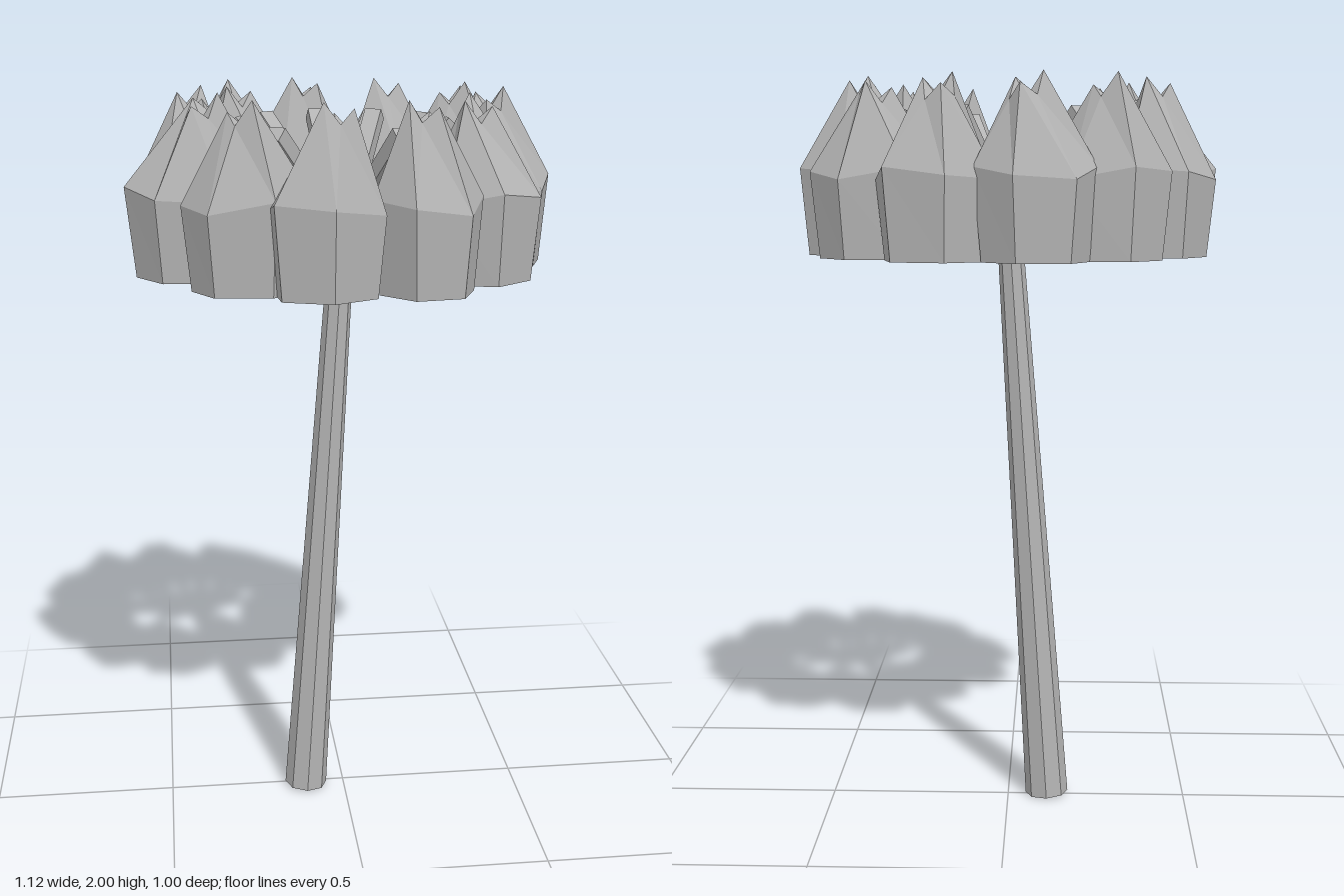
import * as THREE from 'three';

const SIDES = 6;

// One bud per row: centre x, z, radius x, z, turn in degrees, tip x, z
const BUDS = [
  [0.40, 0.00, 0.16, 0.12, -14, 0.38, 0.00],
  [0.33, -0.21, 0.17, 0.115, 0, 0.33, -0.205],
  [0.165, -0.35, 0.165, 0.12, 20, 0.157, -0.358],
  [-0.08, -0.395, 0.155, 0.112, -10, -0.057, -0.39],
  [-0.253, -0.295, 0.165, 0.11, 5, -0.262, -0.30],
  [-0.385, -0.105, 0.16, 0.125, 0, -0.38, -0.105],
  [-0.385, 0.11, 0.18, 0.12, 5, -0.367, 0.11],
  [-0.265, 0.307, 0.163, 0.11, 8, -0.268, 0.307],
  [-0.085, 0.39, 0.155, 0.11, 25, -0.057, 0.39],
  [0.165, 0.37, 0.14, 0.125, -10, 0.155, 0.37],
  [0.325, 0.22, 0.15, 0.125, 18, 0.305, 0.21],
];
const CROWN = [2.0, 1.94, 1.97, 1.93, 1.985, 1.95];
const SHOULDER = [1.77, 1.74, 1.75, 1.77, 1.74, 1.76];

// Faceted bud: flat base, wide shoulder, narrow jagged crown with a dip
function budGeometry([cx, cz, rx, rz, turn, tx, tz], index) {
  const ring = (x, z, ax, az, height) =>
    Array.from({ length: SIDES }, (_, i) => {
      const t = THREE.MathUtils.degToRad(turn) + (i / SIDES) * Math.PI * 2;
      return [x + Math.cos(t) * ax, height(i), z + Math.sin(t) * az];
    });
  const shift = (list) => (i) => list[(i + index * 5) % SIDES];
  const rings = [
    ring(cx, cz, rx * 0.87, rz * 0.87, () => 1.54),
    ring(cx, cz, rx, rz, shift(SHOULDER)),
    ring(tx, tz, 0.042, 0.036, shift(CROWN)),
  ];
  const points = [];
  for (let i = 0; i < SIDES; i++) {
    const j = (i + 1) % SIDES;
    for (let k = 0; k < 2; k++) {
      const lo = rings[k], hi = rings[k + 1];
      points.push(lo[i], hi[i], hi[j], lo[i], hi[j], lo[j]);
    }
    points.push([cx, 1.54, cz], rings[0][i], rings[0][j]);
    points.push([tx, 1.935, tz], rings[2][j], rings[2][i]);
  }
  const geometry = new THREE.BufferGeometry();
  geometry.setAttribute('position', new THREE.Float32BufferAttribute(points.flat(), 3));
  geometry.computeVertexNormals();
  return geometry;
}

// Stretch a mesh's y axis between two points
function place(mesh, from, to) {
  mesh.position.copy(from).add(to).multiplyScalar(0.5);
  const direction = to.clone().sub(from).normalize();
  mesh.quaternion.setFromUnitVectors(new THREE.Vector3(0, 1, 0), direction);
  return mesh;
}

export function createModel() {
  const model = new THREE.Group();
  model.name = 'tree';
  const grey = new THREE.MeshStandardMaterial({ color: 0xb4b4b4, flatShading: true });
  grey.name = 'grey';

  // Leaning tapered trunk
  const foot = new THREE.Vector3(-0.11, 0.008, 0.01);
  const hub = new THREE.Vector3(-0.003, 1.62, 0.006);
  const trunk = new THREE.Mesh(
    new THREE.CylinderGeometry(0.034, 0.06, foot.distanceTo(hub), 8), grey);
  trunk.name = 'trunk';
  model.add(place(trunk, foot, hub));

  // Ring of square branches, each reaching towards its bud
  const branches = new THREE.Group();
  branches.name = 'branches';
  const buds = new THREE.Group();
  buds.name = 'buds';
  const reach = 0.29, rise = 0.29;
  const branchGeometry = new THREE.BoxGeometry(0.046, Math.hypot(reach, rise), 0.04);
  BUDS.forEach((row, i) => {
    const angle = (-i / BUDS.length) * Math.PI * 2;
    const branch = new THREE.Mesh(branchGeometry, grey);
    branch.name = 'branch';
    // Tilt outwards about x, then turn to face the bud
    branch.rotation.order = 'YXZ';
    branch.rotation.set(Math.atan2(reach, rise), Math.PI / 2 - angle, 0);
    branch.position.set(
      hub.x + Math.cos(angle) * reach / 2, hub.y + rise / 2, hub.z + Math.sin(angle) * reach / 2);
    branches.add(branch);

    const bud = new THREE.Mesh(budGeometry(row, i), grey);
    bud.name = 'bud';
    buds.add(bud);
  });
  model.add(branches, buds);
  return model;
}
